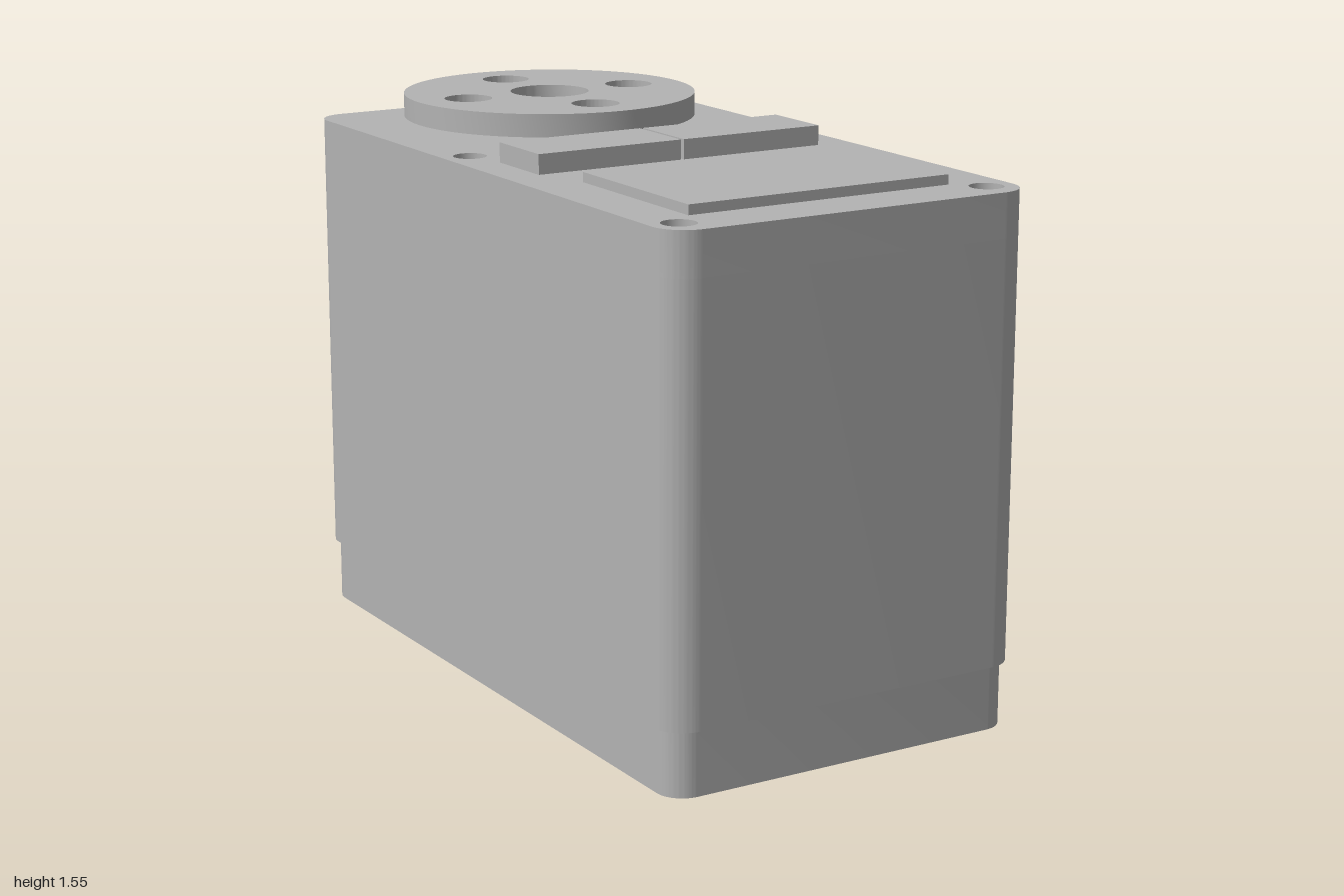
import * as THREE from 'three';
import { toCreasedNormals } from 'three/addons/utils/BufferGeometryUtils.js';

const CASE_TOP = 1.46;
const DISC_Z = -0.56;

// Rounded rectangle centred on the origin
function roundedRect(hw, hd, r) {
  const s = new THREE.Shape();
  s.moveTo(hw, -hd + r);
  s.lineTo(hw, hd - r);
  s.absarc(hw - r, hd - r, r, 0, Math.PI / 2, false);
  s.absarc(-hw + r, hd - r, r, Math.PI / 2, Math.PI, false);
  s.absarc(-hw + r, -hd + r, r, Math.PI, Math.PI * 1.5, false);
  s.absarc(hw - r, -hd + r, r, Math.PI * 1.5, Math.PI * 2, false);
  return s;
}

function addHole(shape, x, z, r) {
  const hole = new THREE.Path();
  hole.absarc(x, -z, r, 0, Math.PI * 2, true);
  shape.holes.push(hole);
}

// Extrude a plan outline upwards from y0 to y1
function slab(shape, y0, y1, curveSegments = 16) {
  const g = new THREE.ExtrudeGeometry(shape, { depth: y1 - y0, bevelEnabled: false, curveSegments });
  g.rotateX(-Math.PI / 2).translate(0, y0, 0);
  return toCreasedNormals(g, 0.6);
}

export function createModel() {
  const model = new THREE.Group();
  model.name = 'servoMotor';
  const grey = new THREE.MeshStandardMaterial({ color: 0xb3b3b3 });
  grey.name = 'plain grey';

  const add = (name, geometry) => {
    const mesh = new THREE.Mesh(geometry, grey);
    mesh.name = name;
    model.add(mesh);
    return mesh;
  };
  const box = (name, x0, x1, z0, z1, height) =>
    add(name, new THREE.BoxGeometry(x1 - x0, height, z1 - z0))
      .position.set((x0 + x1) / 2, CASE_TOP + height / 2, (z0 + z1) / 2);

  // Inset base and main case
  add('base', slab(roundedRect(0.53, 0.985, 0.075), 0, 0.18));
  add('case', slab(roundedRect(0.545, 1, 0.09), 0.18, 1.34));

  // Upper case with four blind screw holes
  const top = roundedRect(0.545, 1, 0.09);
  for (const x of [-0.465, 0.465]) {
    for (const z of [-0.175, 0.905]) addHole(top, x, z, 0.046);
  }
  add('caseTop', slab(top, 1.34, CASE_TOP));

  // Output hub and the horn disc with its holes
  const hub = add('hub', new THREE.CylinderGeometry(0.245, 0.245, 0.025, 64));
  hub.position.set(0, CASE_TOP + 0.0125, DISC_Z);

  const disc = new THREE.Shape();
  disc.absarc(0, -DISC_Z, 0.42, 0, Math.PI * 2, false);
  addHole(disc, 0, DISC_Z, 0.113);
  for (let i = 0; i < 4; i++) {
    const a = i * Math.PI / 2;
    addHole(disc, 0.265 * Math.cos(a), DISC_Z + 0.265 * Math.sin(a), 0.068);
  }
  add('hornDisc', slab(disc, 1.485, 1.55, 36));

  // Paired raised blocks and the label plate
  box('rightBlock', -0.443, -0.005, -0.045, 0.17, 0.055);
  box('leftBlock', 0.005, 0.443, -0.045, 0.17, 0.055);
  box('labelPlate', -0.396, 0.394, 0.32, 0.837, 0.027);

  return model;
}
